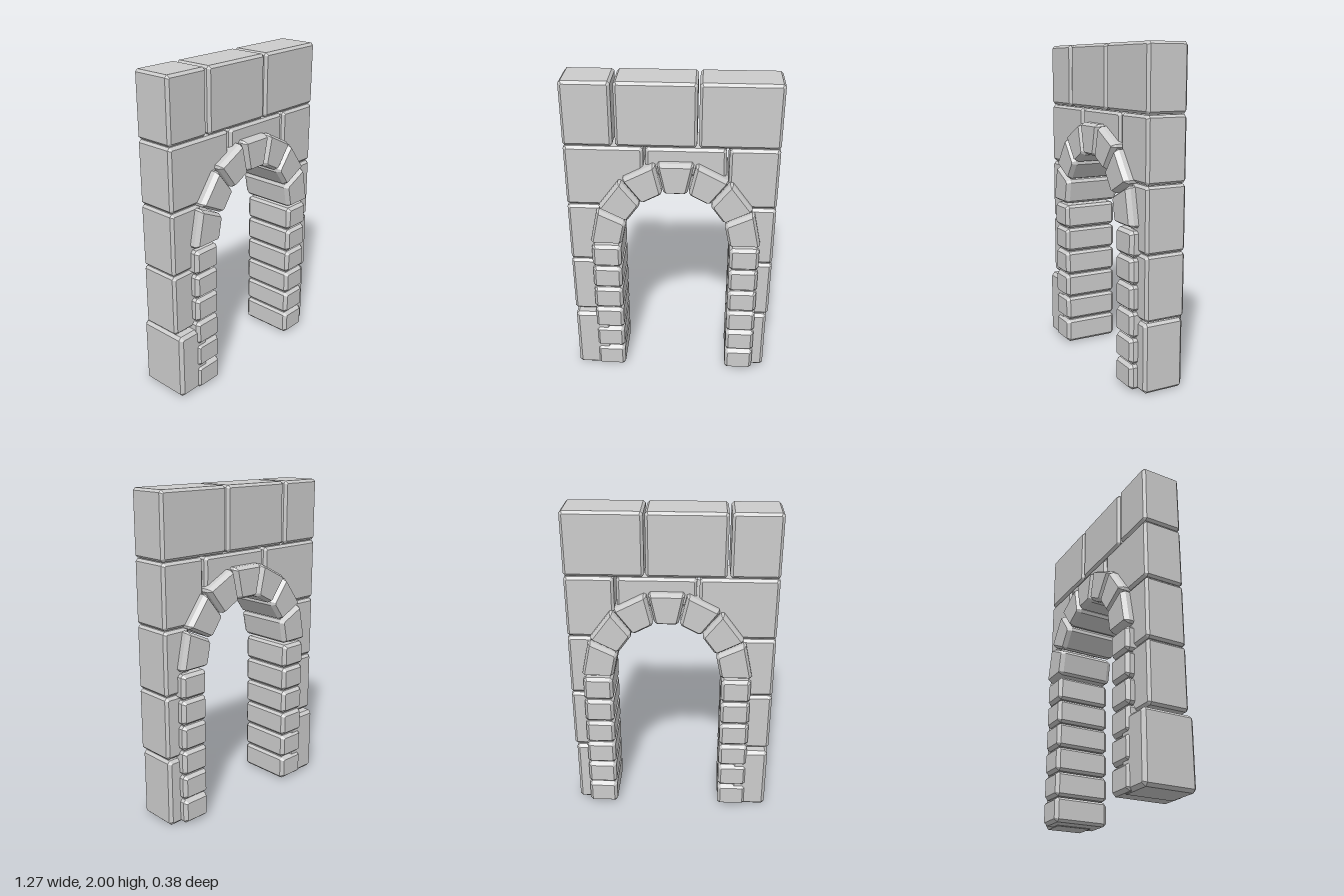
import * as THREE from 'three';

const material = new THREE.MeshStandardMaterial({ color: 0xcccccc, flatShading: true });
const CX = 0.025, SPRING = 0.975; // arch centre and springing height

// Point on an elliptical arch, as [x, y]
const arc = (a, b, t) => [CX + a * Math.cos(t), SPRING + b * Math.sin(t)];

// Cuts every sharp corner of an outline by a distance
function clipCorners(pts, cut) {
  const out = [];
  pts.forEach((p, i) => {
    const c = new THREE.Vector2(...p);
    const prev = new THREE.Vector2(...pts[(i + pts.length - 1) % pts.length]).sub(c).normalize();
    const next = new THREE.Vector2(...pts[(i + 1) % pts.length]).sub(c).normalize();
    if (prev.dot(next) < -0.7) out.push(c);
    else out.push(c.clone().addScaledVector(prev, cut), c.clone().addScaledVector(next, cut));
  });
  return out;
}

// Chamfered stone from a front outline, given counter-clockwise
function stone(name, pts, halfDepth, bevel = 0.016, bevelDepth = bevel) {
  const geo = new THREE.ExtrudeGeometry(new THREE.Shape(clipCorners(pts, bevel * 0.9)), {
    depth: 2 * (halfDepth - bevelDepth), steps: 1,
    bevelEnabled: true, bevelSegments: 1,
    bevelSize: bevel, bevelOffset: -bevel, bevelThickness: bevelDepth,
  });
  geo.translate(0, 0, -(halfDepth - bevelDepth));
  const mesh = new THREE.Mesh(geo, material);
  mesh.name = name;
  return mesh;
}

const rect = (x0, x1, y0, y1) => [[x0, y0], [x1, y0], [x1, y1], [x0, y1]];

export function createModel() {
  const model = new THREE.Group();
  model.name = 'stoneArchway';
  const wall = new THREE.Group();
  wall.name = 'wall';
  const arch = new THREE.Group();
  arch.name = 'arch';
  model.add(wall, arch);
  const W = 0.13; // half depth of the wall

  // Top course
  [[-0.635, -0.343], [-0.327, 0.148], [0.158, 0.632]].forEach(([x0, x1]) =>
    wall.add(stone('topBlock', rect(x0, x1, 1.612, 2), W)));

  // Second course, cut to follow the arch
  const A = 0.43, B = 0.47, low = 1.225, high = 1.608;
  const angleAtX = x => Math.acos((x - CX) / A);
  const tLow = Math.asin((low - SPRING) / B);
  const curve = (t0, t1, n = 4) =>
    Array.from({ length: n + 1 }, (_, i) => arc(A, B, t0 + (t1 - t0) * i / n));
  wall.add(
    stone('spandrelRight', [[-0.635, low],
      ...curve(Math.PI - tLow, angleAtX(-0.167)), [-0.167, high], [-0.635, high]], W),
    stone('spandrelMiddle', [...curve(angleAtX(-0.152), angleAtX(0.322), 6),
      [0.322, high], [-0.152, high]], W),
    stone('spandrelLeft', [...curve(angleAtX(0.338), tLow),
      [0.632, low], [0.632, high], [0.338, high]], W),
  );

  // Outer jamb blocks; the lowest one on the right is deeper
  [[0.831, 1.22], [0.438, 0.826]].forEach(([y0, y1]) => {
    wall.add(stone('jambBlockRight', rect(-0.635, -0.4, y0, y1), W));
    wall.add(stone('jambBlockLeft', rect(0.45, 0.632, y0, y1), W));
  });
  wall.add(stone('footBlockRight', rect(-0.628, -0.4, 0, 0.426), 0.165, 0.02));
  wall.add(stone('footBlockLeft', rect(0.45, 0.622, 0, 0.426), W, 0.018));

  // Pillars of small blocks
  for (let i = 0; i < 6; i++) {
    const y = 0.004 + i * 0.16;
    arch.add(stone('pillarBlockRight', rect(-0.495, -0.312, y, y + 0.153), 0.18, 0.018, 0.022));
    arch.add(stone('pillarBlockLeft', rect(0.362, 0.545, y, y + 0.153), 0.18, 0.018, 0.022));
  }

  // Ring of seven wedge stones
  const step = Math.PI / 7, gap = 0.012;
  for (let i = 0; i < 7; i++) {
    const t0 = i * step + (i ? gap : 0), t1 = (i + 1) * step - (i < 6 ? gap : 0);
    arch.add(stone('archStone', [arc(0.33, 0.365, t0), arc(0.525, 0.565, t0),
      arc(0.525, 0.565, t1), arc(0.33, 0.365, t1)], 0.188, 0.016, 0.028));
  }
  return model;
}
